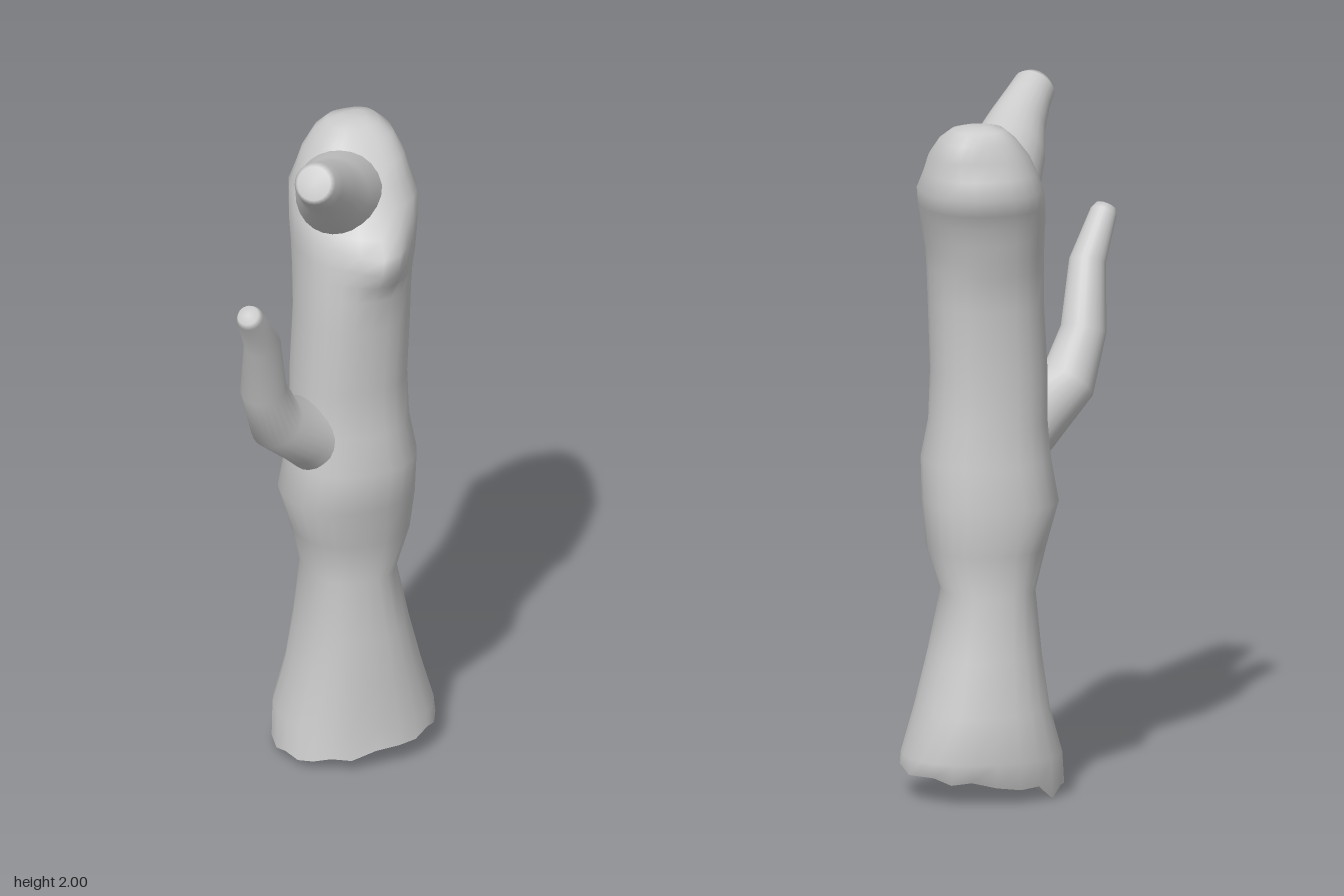
import * as THREE from 'three';

const SIDES = 24;
const bark = new THREE.MeshStandardMaterial({ color: 0xcccccc, side: THREE.DoubleSide });
const angles = Array.from({ length: SIDES }, (_, j) => (j / SIDES) * Math.PI * 2);

// Smooth skin through rings of points, closed softly at the last ring
function loft(name, rings) {
  const centre = new THREE.Vector3();
  rings[rings.length - 1].forEach(p => centre.addScaledVector(p, 1 / SIDES));
  const index = [];
  for (let j = 0; j < SIDES; j++) {
    const k = (j + 1) % SIDES;
    for (let i = 0; i < rings.length - 1; i++) {
      const a = i * SIDES, b = a + SIDES;
      index.push(a + j, a + k, b + k, a + j, b + k, b + j);
    }
    const top = (rings.length - 1) * SIDES;
    index.push(top + SIDES, top + j, top + k);
  }
  const geo = new THREE.BufferGeometry().setFromPoints([...rings.flat(), centre]);
  geo.setIndex(index);
  geo.computeVertexNormals();
  const mesh = new THREE.Mesh(geo, bark);
  mesh.name = name;
  return mesh;
}

// Limb: rows of x, y, z, radius along a bending path
function limb(name, rows) {
  const path = rows.map(r => new THREE.Vector3(r[0], r[1], r[2]));
  const up = new THREE.Vector3(0, 1, 0);
  return loft(name, rows.map((r, i) => {
    const dir = path[Math.min(i + 1, path.length - 1)].clone()
      .sub(path[Math.max(i - 1, 0)]).normalize();
    const turn = new THREE.Quaternion().setFromUnitVectors(up, dir);
    return angles.map(a => new THREE.Vector3(Math.cos(a), 0, -Math.sin(a))
      .multiplyScalar(r[3]).applyQuaternion(turn).add(path[i]));
  }));
}

// Trunk rows: y, x min, x max, z min, z max
const trunkRows = [
  [0.05, -0.12, 0.34, -0.24, 0.13],
  [0.12, -0.11, 0.34, -0.265, 0.12],
  [0.25, -0.075, 0.30, -0.245, 0.115],
  [0.40, -0.055, 0.26, -0.22, 0.11],
  [0.58, -0.04, 0.22, -0.19, 0.10],
  [0.70, -0.07, 0.262, -0.2, 0.11],
  [0.83, -0.11, 0.27, -0.21, 0.15],
  [0.95, -0.09, 0.27, -0.195, 0.16],
  [1.06, -0.08, 0.25, -0.185, 0.14],
  [1.20, -0.08, 0.245, -0.18, 0.135],
  [1.40, -0.07, 0.25, -0.185, 0.15],
  [1.50, -0.067, 0.255, -0.205, 0.15],
  [1.55, -0.065, 0.26, -0.22, 0.148],
  [1.60, -0.065, 0.27, -0.23, 0.145],
  [1.65, -0.065, 0.28, -0.245, 0.135],
  [1.69, -0.06, 0.29, -0.26, 0.115],
  [1.74, -0.05, 0.30, -0.285, 0.085],
  [1.79, -0.03, 0.285, -0.265, 0.045],
  [1.84, -0.005, 0.272, -0.25, 0.005],
  [1.89, 0.035, 0.25, -0.24, -0.05],
  [1.92, 0.07, 0.215, -0.215, -0.085],
  [1.93, 0.11, 0.18, -0.18, -0.12],
];

function trunk() {
  const rings = trunkRows.map(([y, x0, x1, z0, z1], i) => angles.map((a, j) => {
    // Slightly squared section, more so at the crown
    const power = y > 1.8 ? 0.75 : 0.87;
    const [c, s] = [Math.cos(a), Math.sin(a)].map(v => Math.sign(v) * Math.abs(v) ** power);
    // Ragged, tilted rim at the foot
    const rim = i === 0 ? 0.027 * c + 0.008 * Math.cos(j * 2.4) : 0;
    const p = new THREE.Vector3(
      (x0 + x1) / 2 + c * (x1 - x0) / 2,
      y + rim,
      (z0 + z1) / 2 - s * (z1 - z0) / 2);
    // Short knot swelling out of the front
    if (s < 0) {
      const dx = (p.x - 0.125) / 0.075, dy = (y - 1.64) / (y < 1.64 ? 0.1 : 0.075);
      p.z += 0.075 * Math.exp(-dx * dx - dy * dy);
    }
    return p;
  }));
  rings[0][9].y = 0;
  // Hollowed underside, sharing the rim's outline
  const hollow = r => angles.map(a =>
    new THREE.Vector3(0.11 + r * Math.cos(a), 0.1, -0.06 - r * Math.sin(a)));
  return loft('trunk', [hollow(0), hollow(0.02), rings[0], ...rings]);
}

export function createModel() {
  const group = new THREE.Group();
  group.name = 'treeStump';
  group.add(trunk());

  // Long thin side branch
  group.add(limb('sideBranch', [
    [0.09, 0.93, -0.03, 0.12],
    [0.01, 1.0, 0.0, 0.11],
    [-0.07, 1.065, 0.035, 0.1],
    [-0.17, 1.13, 0.085, 0.08],
    [-0.225, 1.27, 0.125, 0.065],
    [-0.25, 1.45, 0.185, 0.052],
    [-0.312, 1.573, 0.253, 0.038],
    [-0.32, 1.587, 0.261, 0.03],
  ]));

  // Thick cut branch growing out of the crown, with a broad saddle at its root
  group.add(limb('upperBranch', [
    [0.13, 1.69, -0.13, 0.14],
    [0.065, 1.755, -0.035, 0.13],
    [0.005, 1.81, 0.06, 0.105],
    [-0.035, 1.87, 0.13, 0.082],
    [-0.08, 1.92, 0.195, 0.066],
    [-0.108, 1.95, 0.228, 0.06],
    [-0.116, 1.957, 0.238, 0.048],
  ]));
  return group;
}
